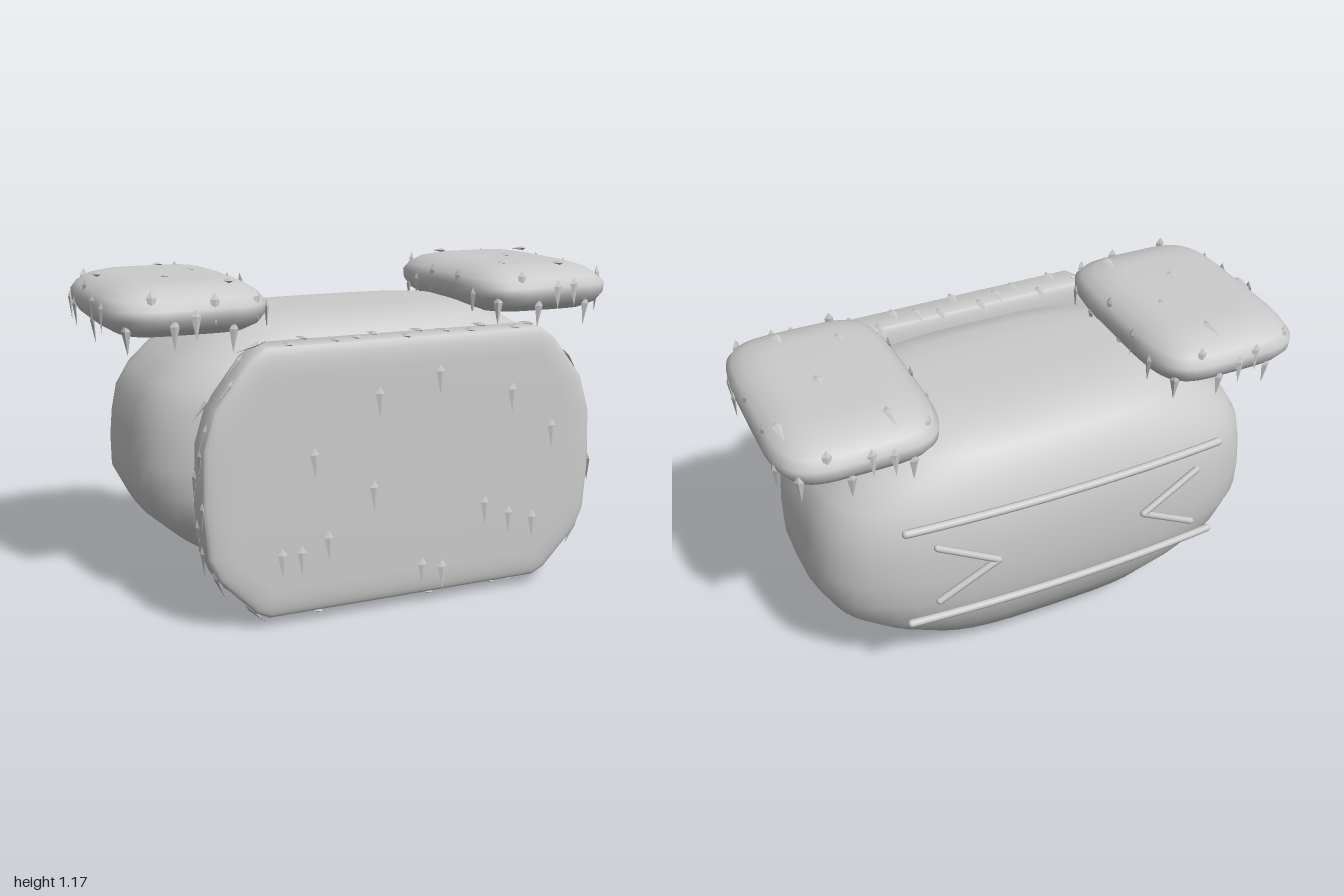
import * as THREE from 'three';
import { toCreasedNormals } from 'three/addons/utils/BufferGeometryUtils.js';

const grey = new THREE.MeshStandardMaterial({ color: 0xcccccc });

function add(parent, name, geometry) {
  const mesh = new THREE.Mesh(geometry, grey);
  mesh.name = name;
  parent.add(mesh);
  return mesh;
}

// Stack of rounded-rectangle sections; each level is [y, halfX, frontZ, backZ]
function loft(levels, power, seg = 48) {
  const pos = [], index = [];
  const bend = v => Math.sign(v) * Math.abs(v) ** (2 / power);
  for (const [y, hx, front, back] of levels) {
    for (let j = 0; j < seg; j++) {
      const t = (j / seg) * Math.PI * 2;
      pos.push(hx * bend(Math.cos(t)), y, (front + back) / 2 + ((front - back) / 2) * bend(Math.sin(t)));
    }
  }
  const last = (levels.length - 1) * seg, bottom = levels.length * seg;
  for (const [y, , f, b] of [levels[0], levels.at(-1)]) pos.push(0, y, (f + b) / 2);
  for (let j = 0; j < seg; j++) {
    const k = (j + 1) % seg;
    for (let r = 0; r < last; r += seg) {
      index.push(r + j, r + seg + j, r + k, r + k, r + seg + j, r + seg + k);
    }
    index.push(bottom, j, k, bottom + 1, last + k, last + j);
  }
  const g = new THREE.BufferGeometry();
  g.setAttribute('position', new THREE.Float32BufferAttribute(pos, 3));
  g.setIndex(index);
  g.computeVertexNormals();
  return g;
}

// Thin kite-shaped barb: tip along -y, flat side along z
const barbGeometry = (() => {
  const upper = new THREE.Vector3(0, 0.025, 0), tip = new THREE.Vector3(0, -0.085, 0);
  const ring = [[0.017, 0], [0, 0.008], [-0.017, 0], [0, -0.008]].map(([x, z]) => new THREE.Vector3(x, 0, z));
  const points = [];
  ring.forEach((p, i) => {
    const q = ring[(i + 1) % 4];
    points.push(upper, q, p, tip, p, q);
  });
  const g = new THREE.BufferGeometry().setFromPoints(points);
  g.computeVertexNormals();
  return g;
})();

// Aim the barb before parenting, so its direction is local to the parent
function addBarb(parent, position, normal) {
  const barb = new THREE.Mesh(barbGeometry, grey);
  barb.name = 'barb';
  barb.position.copy(position);
  barb.lookAt(position.clone().add(normal));
  parent.add(barb);
}

const v3 = (x, y, z) => new THREE.Vector3(x, y, z);

function rod(parent, name, a, mid, b, radius) {
  const path = new THREE.QuadraticBezierCurve3(a, mid, b);
  add(parent, name, new THREE.TubeGeometry(path, 12, radius, 8));
  for (const end of [a, b]) {
    add(parent, name + 'End', new THREE.SphereGeometry(radius, 8, 6)).position.copy(end);
  }
}

export function createModel() {
  const model = new THREE.Group();
  model.name = 'barbedBarrel';

  // Bulging body
  add(model, 'body', loft([
    [0.09, 0.3, 0.12, -0.22], [0.09, 0.58, 0.31, -0.42], [0.19, 0.72, 0.36, -0.48], [0.29, 0.83, 0.4, -0.525],
    [0.4, 0.885, 0.415, -0.545], [0.5, 0.885, 0.42, -0.552], [0.6, 0.875, 0.42, -0.552],
    [0.7, 0.855, 0.415, -0.543], [0.78, 0.81, 0.405, -0.52], [0.86, 0.73, 0.38, -0.485],
    [0.93, 0.62, 0.345, -0.435], [0.975, 0.52, 0.29, -0.37], [0.995, 0.44, 0.2, -0.27], [1.0, 0.38, 0.1, -0.17],
  ], 3.4));

  // Eight-cornered front plate, thinning towards its rim
  const half = [[0.52, 0.012], [0.57, 0.035], [0.7, 0.17], [0.735, 0.25], [0.748, 0.42],
    [0.74, 0.63], [0.7, 0.76], [0.58, 0.915], [0.52, 0.955]];
  const outline = [...half, ...half.map(([x, y]) => [-x, y]).reverse()].map(p => new THREE.Vector2(...p));
  const shape = new THREE.Shape(outline);
  shape.closePath();
  const plate = new THREE.Group();
  plate.name = 'frontPlate';
  model.add(plate);
  const plateGeometry = new THREE.ExtrudeGeometry(shape, {
    depth: 0.102, bevelThickness: 0.024, bevelSize: 0.1, bevelOffset: -0.1, bevelSegments: 6,
  });
  plateGeometry.translate(0, 0, 0.434);
  add(plate, 'plate', toCreasedNormals(plateGeometry, 1.0));

  // Barbs on the plate face
  for (const [x, y] of [[-0.12, 0.77], [0.11, 0.83], [0.4, 0.74], [0.57, 0.59], [-0.48, 0.24], [-0.41, 0.24],
    [-0.31, 0.28], [0.3, 0.33], [0.4, 0.28], [0.5, 0.25], [0.05, 0.13], [0.13, 0.11], [-0.36, 0.58], [-0.14, 0.44]]) {
    addBarb(plate, v3(x, y, 0.562), v3(0, 0.03, 1));
  }
  // Barbs around the plate rim
  const rimCount = 50;
  for (let i = 0; i < rimCount; i++) {
    const p = shape.getPointAt(i / rimCount), t = shape.getTangentAt(i / rimCount);
    const n = v3(t.y, -t.x, 0.08 * Math.sign(t.x));
    addBarb(plate, v3(p.x, p.y, 0.485 + 0.05 * Math.sin(i * 2.4)).addScaledVector(n, 0.002), n);
  }

  // Pair of cushion-like pads on top
  const padLevels = [[-0.09, 0.15], [-0.08, 0.08], [-0.055, 0.03], [-0.02, 0.003], [0.015, 0],
    [0.045, 0.025], [0.07, 0.07], [0.085, 0.13], [0.09, 0.19]]
    .map(([y, inset]) => [y, 0.295 - inset * 0.8, 0.422 - inset, -0.422 + inset]);
  const padGeometry = loft(padLevels, 4.6, 56);
  const topBarbs = {
    '-1': [[-0.23, -0.05], [0.05, -0.27], [0.12, -0.07], [-0.02, 0.1], [0.15, 0.3]],
    '1': [[-0.11, -0.29], [0.24, -0.22], [0.04, -0.02], [-0.11, 0.21], [0.09, 0.3]],
  };
  for (const side of [1, -1]) {
    const pad = new THREE.Group();
    pad.name = side > 0 ? 'leftPad' : 'rightPad';
    pad.position.set(side * 0.695, 1.048, -0.057);
    model.add(pad);
    add(pad, 'pad', padGeometry);
    for (const [x, z] of topBarbs[side]) {
      addBarb(pad, v3(x, 0.09, z), v3(0, 1, -0.1));
      addBarb(pad, v3(-x * 0.6, -0.092, z * 0.6), v3(0, -1, 0.1));
    }
    // Barbs hanging around the pad edge
    for (let i = 0; i < 26; i++) {
      const a = (i / 26) * Math.PI * 2 + 0.1 * side, c = Math.cos(a), s = Math.sin(a);
      const k = (Math.abs(c) ** 4.6 + Math.abs(s) ** 4.6) ** (-1 / 4.6);
      const n = v3(Math.sign(c) * Math.abs(c * k) ** 3.6, 0, Math.sign(s) * Math.abs(s * k) ** 3.6).normalize();
      const h = Math.sin(i * 2.4 + side);
      const inset = 0.03 * h * h;
      addBarb(pad, v3(c * k * (0.299 - inset), h * 0.06, s * k * (0.426 - inset)), n.setY(h * 0.12));
    }
  }

  // Two long rails across the back, bowed with the body
  for (const y of [0.755, 0.34]) {
    rod(model, 'backRail', v3(0.61, y, -0.522), v3(0, y, -0.575), v3(-0.61, y, -0.522), 0.015);
  }
  // Inward-pointing chevrons between the rails
  for (const side of [1, -1]) {
    const apex = v3(side * 0.29, 0.553, -0.56);
    for (const y of [0.675, 0.43]) {
      const end = v3(side * 0.51, y, -0.546);
      rod(model, 'backChevron', apex, apex.clone().lerp(end, 0.5), end, 0.013);
    }
  }
  return model;
}
